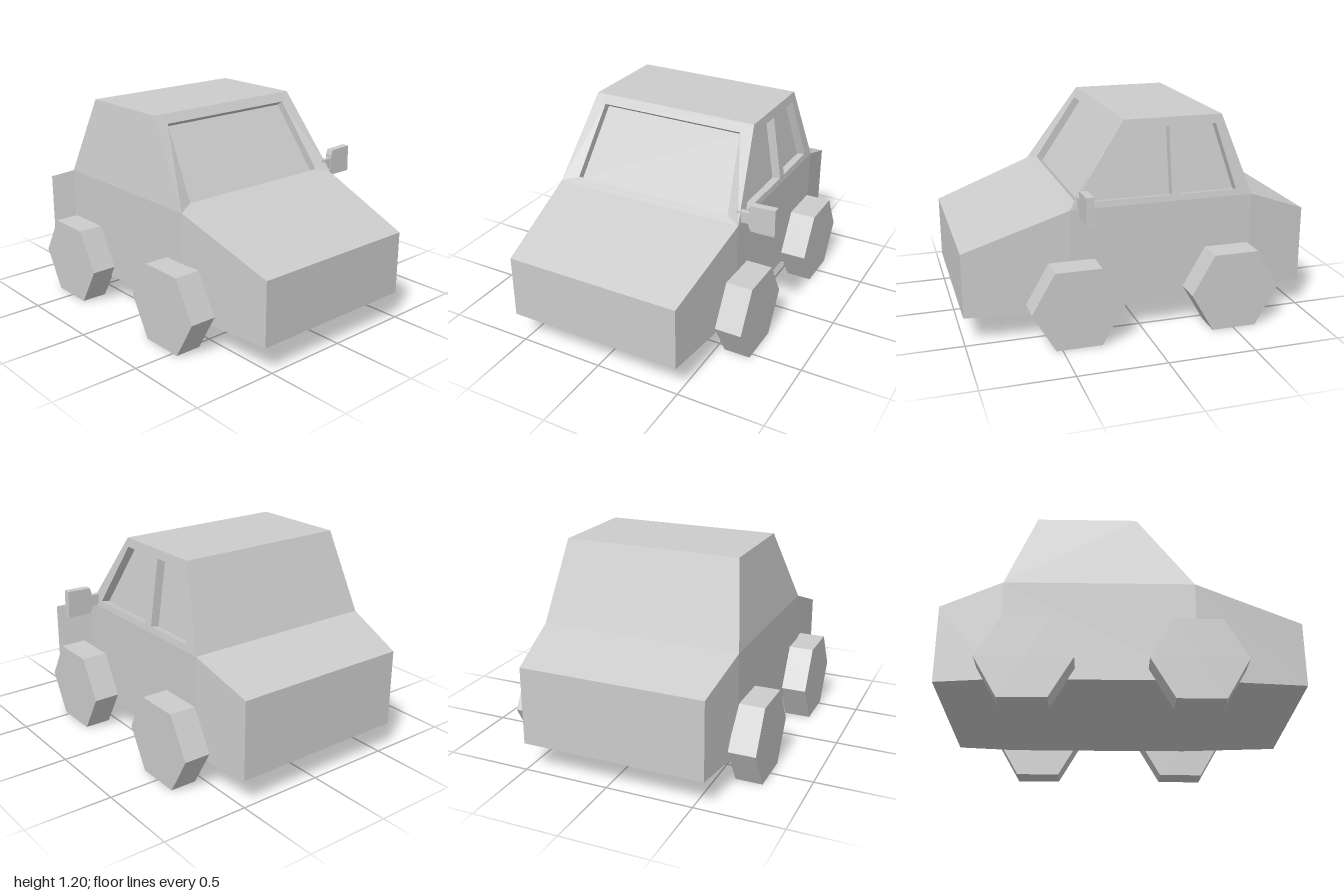
import * as THREE from 'three';
import { mergeGeometries } from 'three/addons/utils/BufferGeometryUtils.js';

const CX = -0.03; // centre line of the body

function makeMesh(name, geometry) {
  const material = new THREE.MeshStandardMaterial({ color: 0xcccccc, flatShading: true });
  const mesh = new THREE.Mesh(geometry, material);
  mesh.name = name;
  return mesh;
}

// Faces given as convex, counter-clockwise loops of Vector3
function facesGeometry(faces) {
  const points = [];
  for (const f of faces)
    for (let i = 1; i < f.length - 1; i++) points.push(f[0], f[i], f[i + 1]);
  const g = new THREE.BufferGeometry().setFromPoints(points);
  g.computeVertexNormals();
  return g;
}

// Flat panel with recessed windows: outlines are (u, y) loops, place() puts them in space
function windowPanel(name, outline, windows, place, inward) {
  const toV2 = (loop) => loop.map(([u, y]) => new THREE.Vector2(u, y));
  const shape = new THREE.Shape(toV2(outline));
  shape.holes = windows.map((w) => new THREE.Path(toV2(w)));
  const frame = new THREE.ShapeGeometry(shape).toNonIndexed();
  const pos = frame.attributes.position;
  for (let i = 0; i < pos.count; i++) {
    const p = place(pos.getX(i), pos.getY(i));
    pos.setXYZ(i, p.x, p.y, p.z);
  }
  frame.deleteAttribute('uv');
  frame.computeVertexNormals();

  const faces = [];
  for (const w of windows) {
    const rim = w.map(([u, y]) => place(u, y));
    const glass = rim.map((p) => p.clone().add(inward));
    rim.forEach((p, i) => {
      const j = (i + 1) % rim.length;
      faces.push([p, rim[j], glass[j], glass[i]]);
    });
    faces.push(glass);
  }
  return makeMesh(name, mergeGeometries([frame, facesGeometry(faces)]));
}

export function createModel() {
  const group = new THREE.Group();
  const v = (x, y, z) => new THREE.Vector3(x, y, z);

  // Lower body: cross-sections [z, half width, top] from nose to tail
  const sections = [
    [1, 0.52, 0.53], [0.41, 0.58, 0.74], [-0.65, 0.58, 0.74], [-1, 0.533, 0.61],
  ].map(([z, w, top]) => [
    v(CX - w, 0.16, z), v(CX + w, 0.16, z), v(CX + w, top, z), v(CX - w, top, z),
  ]);
  const bodyFaces = [sections[0], [...sections[3]].reverse()];
  for (let s = 0; s < 3; s++) {
    const a = sections[s], b = sections[s + 1];
    for (let i = 0; i < 4; i++) {
      if (s === 1 && i === 2) continue; // open under the cabin
      const j = (i + 1) % 4;
      bodyFaces.push([a[j], a[i], b[i], b[j]]);
    }
  }
  group.add(makeMesh('body', facesGeometry(bodyFaces)));

  // Cabin shell: roof, back and plain right side
  const [, , f1, f0] = sections[1];
  const [, , b1, b0] = sections[2];
  const rf0 = v(-0.54, 1.2, 0.09), rf1 = v(0.48, 1.2, 0.09);
  const rb0 = v(-0.54, 1.2, -0.48), rb1 = v(0.48, 1.2, -0.48);
  group.add(makeMesh('cabin', facesGeometry([
    [rf0, rf1, rb1, rb0],
    [b1, b0, rb0, rb1],
    [b0, f0, rf0, rb0],
  ])));

  // Windscreen, with a lip at its foot
  group.add(windowPanel('windscreen',
    [[-0.61, 0.74], [0.55, 0.74], [0.48, 1.2], [-0.54, 1.2]],
    [[[-0.515, 0.765], [0.465, 0.765], [0.41, 1.15], [-0.47, 1.15]]],
    (x, y) => v(x, y, y < 0.75 ? 0.41 : 0.09 + (1.2 - y) * 0.632),
    v(0, -0.025, -0.037)));

  // Left side with two windows, u running backwards
  group.add(windowPanel('sideWindows',
    [[-0.41, 0.74], [0.65, 0.74], [0.48, 1.2], [-0.09, 1.2]],
    [
      [[-0.3, 0.775], [0.172, 0.775], [0.168, 1.15], [-0.075, 1.15]],
      [[0.226, 0.775], [0.555, 0.775], [0.443, 1.15], [0.218, 1.15]],
    ],
    (u, y) => v(0.55 - (y - 0.74) * 0.152, y, -u),
    v(-0.05, -0.01, 0)));

  // Door mirror on the left
  const mirror = new THREE.Group();
  mirror.name = 'doorMirror';
  const headShape = new THREE.Shape([
    [0.593, 0.735], [0.61, 0.705], [0.75, 0.705], [0.747, 0.865], [0.605, 0.86], [0.595, 0.83],
  ].map(([x, y]) => new THREE.Vector2(x, y)));
  const head = makeMesh('mirrorHead',
    new THREE.ExtrudeGeometry(headShape, { depth: 0.043, bevelEnabled: false }));
  head.position.z = 0.33;
  const stem = makeMesh('mirrorStem', new THREE.BoxGeometry(0.08, 0.065, 0.03));
  stem.position.set(0.56, 0.777, 0.354);
  mirror.add(head, stem);
  group.add(mirror);

  // Six-sided wheels
  const wheelGeometry = new THREE.CylinderGeometry(0.26, 0.26, 0.155, 6).rotateZ(Math.PI / 2);
  for (const [end, z] of [['front', 0.405], ['rear', -0.505]])
    for (const [side, x] of [['Left', 0.626], ['Right', -0.678]]) {
      const wheel = makeMesh(`${end}${side}Wheel`, wheelGeometry);
      wheel.position.set(x, 0.225, z);
      group.add(wheel);
    }
  return group;
}
